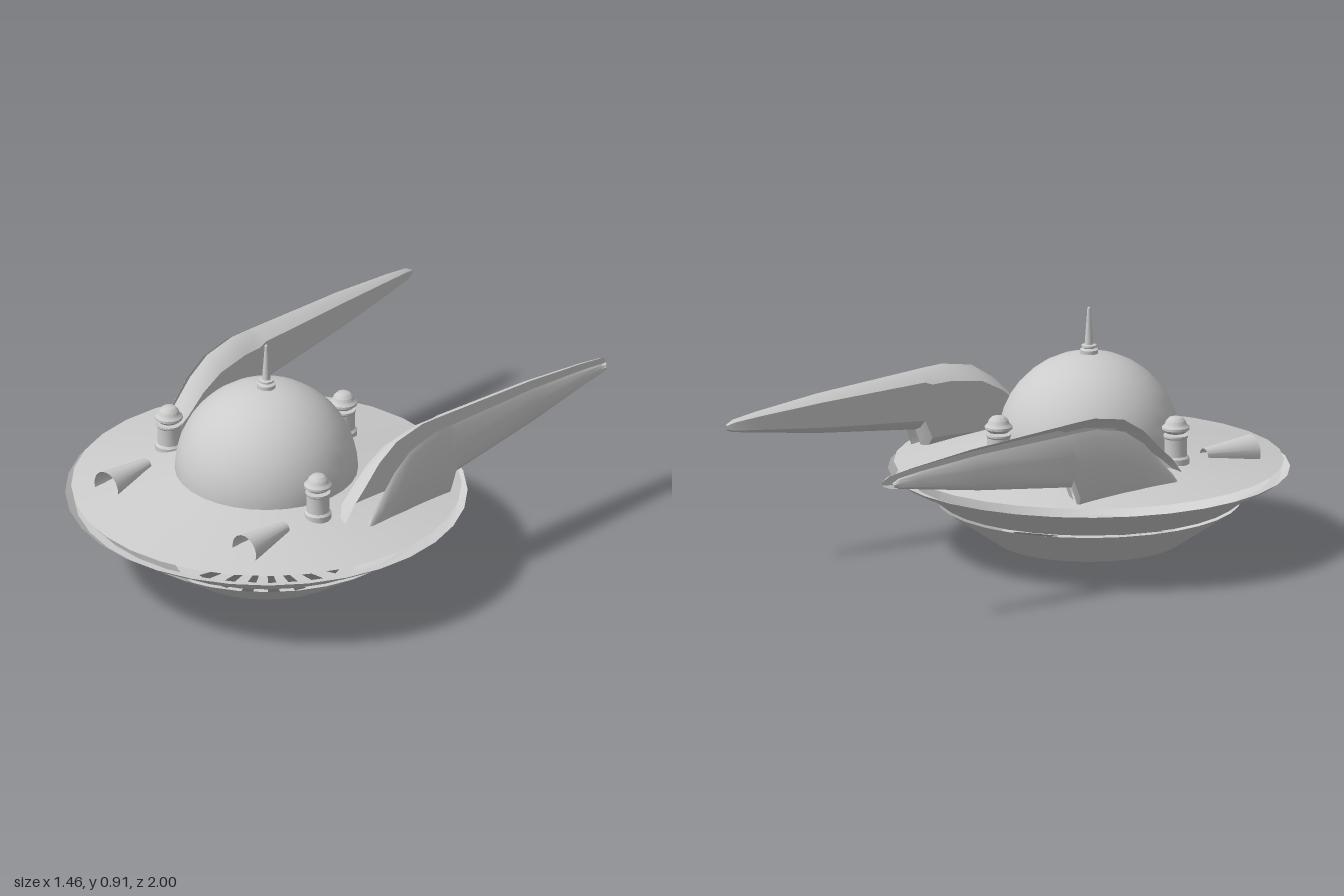
import * as THREE from 'three';
import { toCreasedNormals } from 'three/addons/utils/BufferGeometryUtils.js';

const material = new THREE.MeshStandardMaterial({ color: 0xcccccc, side: THREE.DoubleSide });
const CZ = 0.265; // saucer axis

function add(parent, name, geometry, x = 0, y = 0, z = 0) {
  const mesh = new THREE.Mesh(geometry, material);
  mesh.name = name;
  mesh.position.set(x, y, z);
  parent.add(mesh);
  return mesh;
}

// Surface of revolution, profile given bottom to top as [radius, y]
function turned(profile, sides = 32) {
  const pts = profile.map(([r, y]) => new THREE.Vector2(r, y));
  return toCreasedNormals(new THREE.LatheGeometry(pts, sides), 0.55);
}

// Open curved sheet from cross-sections, one row of [x, y, z] points per station
function sheet(rows, flip) {
  const n = rows[0].length, index = [];
  for (let i = 0; i < rows.length - 1; i++) {
    for (let j = 0; j < n - 1; j++) {
      const a = i * n + j, b = a + 1, c = a + n, d = c + 1;
      if (flip) index.push(a, b, c, b, d, c);
      else index.push(a, c, b, b, c, d);
    }
  }
  const g = new THREE.BufferGeometry();
  g.setAttribute('position', new THREE.Float32BufferAttribute(rows.flat(2), 3));
  g.setIndex(index);
  return toCreasedNormals(g, 0.6);
}

// Fin stations: z, bottom y, top y, x of the inner face
const finStations = [
  [0.345, 0.32, 0.37, 0.45], [0.30, 0.32, 0.43, 0.415], [0.25, 0.32, 0.475, 0.41],
  [0.17, 0.32, 0.556, 0.41], [0.08, 0.32, 0.612, 0.41], [-0.05, 0.32, 0.635, 0.415],
  [-0.135, 0.32, 0.632, 0.42], [-0.166, 0.405, 0.63, 0.422], [-0.6, 0.455, 0.604, 0.445],
  [-0.87, 0.497, 0.575, 0.468], [-0.97, 0.513, 0.56, 0.48], [-1, 0.525, 0.545, 0.49],
];

// Each fin is a bulging inner blade and a flatter outer plate with a slit between
function fin(side) {
  const group = new THREE.Group();
  group.name = side > 0 ? 'leftFin' : 'rightFin';
  const blade = finStations.map(([z, y0, y1, xi]) => {
    const xo = 0.482 - 0.015 * z, h = y1 - y0;
    return [[xo, 1], [(xo + xi) / 2, 0.95], [xi, 0.84], [xi, 0.2], [(xo + xi) / 2, 0.06], [xo, 0]]
      .map(([x, t]) => [side * x, y0 + t * h, z]);
  });
  const plate = finStations.map(([z, y0, y1]) => {
    const k = (z + 1) / 1.345, edge = 0.514 + 0.014 * k, out = 0.525 + 0.02 * k;
    const h = Math.max(y1 - 0.03 * k - 0.008 - y0, 0.006);
    return [[edge, 1], [(edge + out) / 2, 0.9], [out, 0.6], [out, 0.15], [edge, 0]]
      .map(([x, t]) => [side * x, y0 + t * h, 0.305 + (z - 0.345) * 0.949]);
  });
  add(group, 'innerBlade', sheet(blade, side < 0));
  add(group, 'outerPlate', sheet(plate, side > 0));
  return group;
}

// Floor of the lower hull, pierced by radial slots
function ventedFloor() {
  const shape = new THREE.Shape();
  shape.absarc(0, 0, 0.338, 0, Math.PI * 2);
  const count = 18;
  for (let i = 0; i < count; i++) {
    const a = (i / count) * Math.PI * 2;
    const corners = [[0.12, -0.008], [0.285, -0.022], [0.285, 0.022], [0.12, 0.008]];
    shape.holes.push(new THREE.Path(corners.map(([r, w]) => new THREE.Vector2(
      r * Math.cos(a) - w * Math.sin(a), r * Math.sin(a) + w * Math.cos(a)))));
  }
  return new THREE.ShapeGeometry(shape, 16).rotateX(Math.PI / 2);
}

// Short post with a foot and a separate domed cap
function post(x, z) {
  const group = new THREE.Group();
  group.name = 'post';
  group.position.set(x, 0, z);
  add(group, 'postBody', turned([[0.05, 0.35], [0.05, 0.402], [0.042, 0.41], [0.042, 0.475],
    [0.046, 0.48], [0.046, 0.487], [0, 0.487]], 16));
  add(group, 'postCap', turned([[0, 0.495], [0.035, 0.495], [0.051, 0.508], [0.051, 0.517], [0.04, 0.527],
    [0.036, 0.54], [0.024, 0.552], [0, 0.558]], 16));
  return group;
}

// Tapered half-round scoop, open at the front
function scoop(side) {
  const rows = [[0.74, 0.06, 0.368], [0.53, 0.025, 0.382]].map(([z, r, y]) => {
    const row = [];
    for (let i = 0; i <= 12; i++) {
      const a = -0.35 + (i / 12) * (Math.PI + 0.7);
      row.push([side * 0.35 + r * Math.cos(a), y + r * Math.sin(a), z]);
    }
    return row;
  });
  return sheet(rows, true);
}

export function createModel() {
  const model = new THREE.Group();
  model.name = 'flyingSaucer';

  // Saucer: open hull shells stacked with thin gaps
  add(model, 'topDeck', turned([[0.71, 0.33], [0.33, 0.402]]), 0, 0, CZ);
  add(model, 'upperHull', turned([[0.545, 0.187], [0.665, 0.278], [0.70, 0.28], [0.732, 0.303]]), 0, 0, CZ);
  add(model, 'lowerHull', turned([[0.338, 0.034], [0.553, 0.18]]), 0, 0, CZ);
  add(model, 'ventedFloor', ventedFloor(), 0, 0.034, CZ);
  add(model, 'bottomNub', turned([[0, 0], [0.022, 0.002], [0.08, 0.034]], 24), 0, 0, CZ);

  // Dome and antenna
  add(model, 'dome', new THREE.SphereGeometry(0.334, 32, 9, 0, Math.PI * 2, 0, Math.PI / 2), 0, 0.4, CZ);
  add(model, 'antenna', turned([[0.034, 0.73], [0.034, 0.745], [0.02, 0.75], [0.028, 0.755],
    [0.028, 0.762], [0.016, 0.765], [0.006, 0.9], [0, 0.907]], 16), 0, 0, CZ);

  // Fittings on the deck
  model.add(post(0.378, 0.385), post(-0.378, 0.385), post(0, -0.137));
  for (const side of [1, -1]) {
    add(model, side > 0 ? 'leftScoop' : 'rightScoop', scoop(side));
    model.add(fin(side));
  }
  return model;
}
